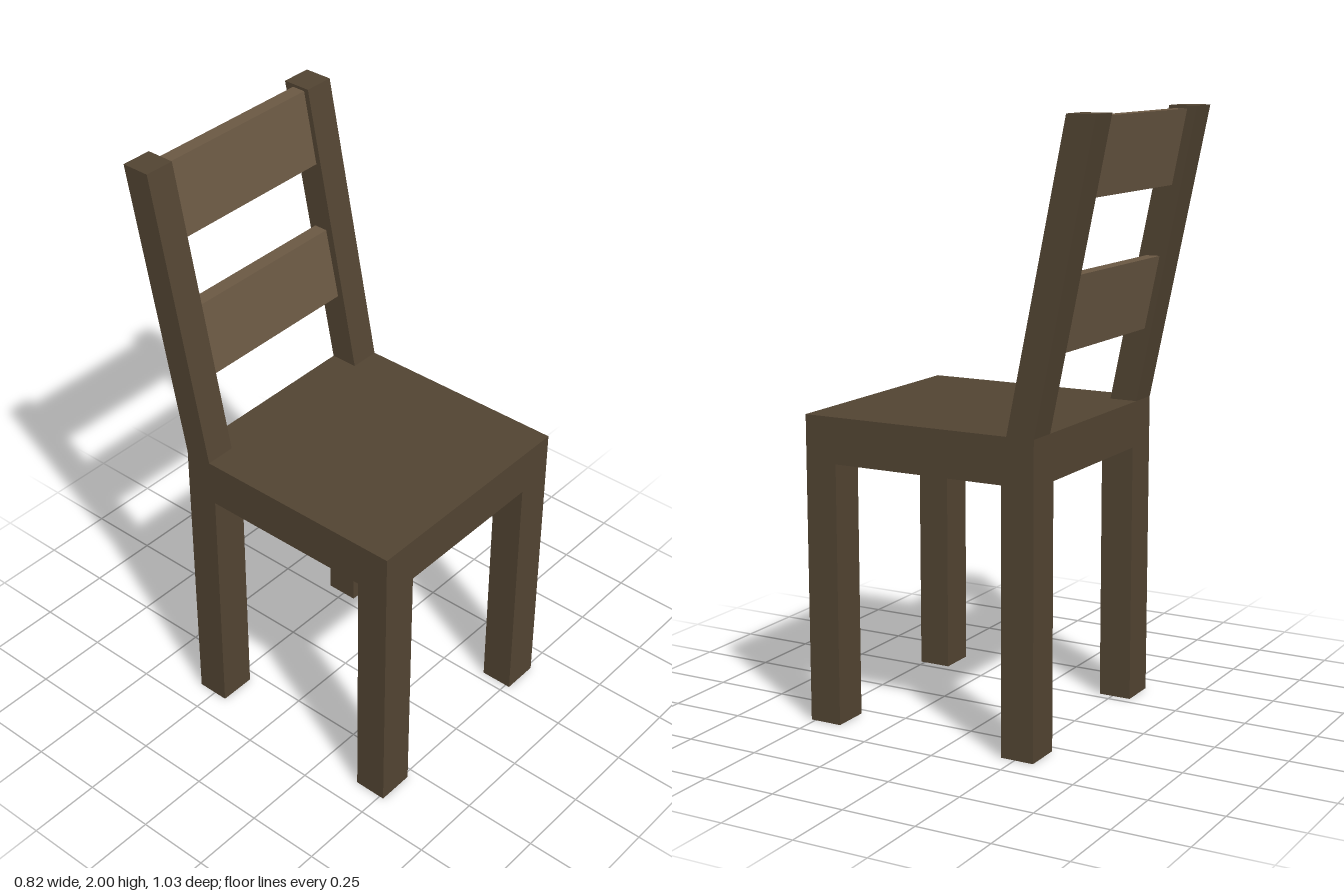
import * as THREE from 'three';

const frameMat = new THREE.MeshStandardMaterial({ color: 0x524432, flatShading: true });
const slatMat = new THREE.MeshStandardMaterial({ color: 0x6a5843, flatShading: true });

// Side profile of [z, y] points, extruded across the width from x0 to x1
function part(name, points, x0, x1, material) {
  const shape = new THREE.Shape(points.map(([z, y]) => new THREE.Vector2(z, y)));
  const geometry = new THREE.ExtrudeGeometry(shape, { depth: x1 - x0, bevelEnabled: false });
  geometry.rotateY(-Math.PI / 2).translate(x1, 0, 0);
  const mesh = new THREE.Mesh(geometry, material);
  mesh.name = name;
  return mesh;
}

const rect = (z0, z1, y0, y1) => [[z0, y0], [z1, y0], [z1, y1], [z0, y1]];

export function createModel() {
  const chair = new THREE.Group();
  chair.name = 'chair';

  // Thick slab seat
  chair.add(part('seat', rect(-0.315, 0.515, 0.875, 1.028), -0.41, 0.41, frameMat));

  // Legs and leaning back posts, mirrored left and right
  for (const [side, s] of [['left', 1], ['right', -1]]) {
    const add = (name, points, inner) =>
      chair.add(part(side + name, points, Math.min(s * inner, s * 0.41), Math.max(s * inner, s * 0.41), frameMat));
    add('FrontLeg', rect(0.403, 0.515, 0, 0.875), 0.282);
    add('BackLeg', rect(-0.315, -0.202, 0, 0.875), 0.282);
    add('BackPost', [[-0.315, 1.028], [-0.22, 1.028], [-0.418, 2], [-0.515, 2]], 0.305);
  }

  // Two slats between the posts, following their lean
  chair.add(part('lowerSlat', [[-0.342, 1.273], [-0.294, 1.279], [-0.345, 1.515], [-0.392, 1.515]], -0.305, 0.305, slatMat));
  chair.add(part('upperSlat', [[-0.432, 1.746], [-0.385, 1.746], [-0.434, 1.99], [-0.481, 1.99]], -0.305, 0.305, slatMat));

  return chair;
}
